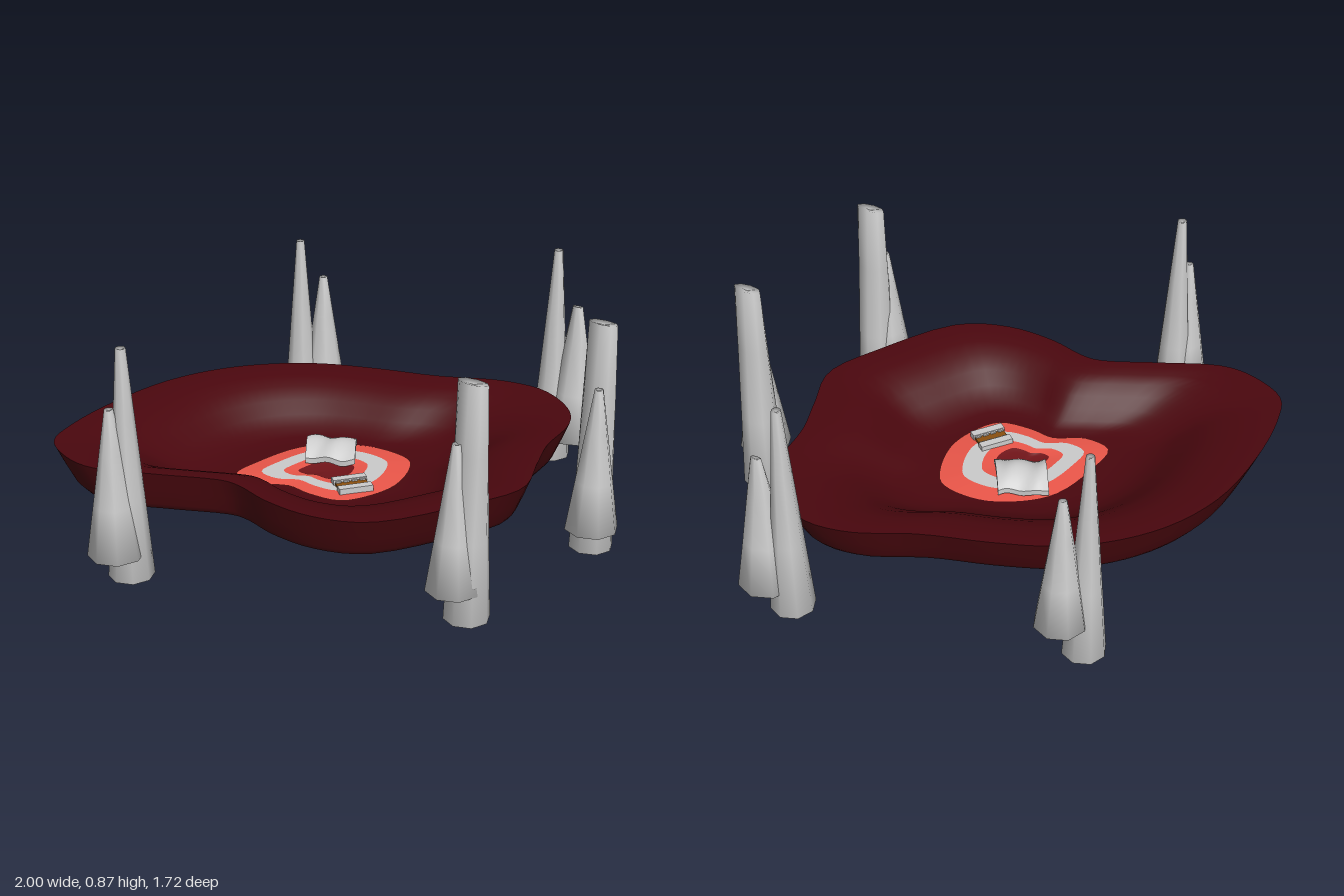
import * as THREE from 'three';

const mat = (color) => new THREE.MeshStandardMaterial({ color, side: THREE.DoubleSide });
const GREY = mat(0xcccccc), DARK = mat(0x4a070e), RED = mat(0xeb5649);
const THROAT = mat(0x701419), WHITE = mat(0xffffff), BROWN = mat(0x8a5010);

// Outlines as x, z pairs seen from above
const POOL = [-1, -.1, -.94, -.22, -.8, -.385, -.6, -.555, -.4, -.645, -.2, -.672, 0, -.647, .2, -.57, .415, -.465,
  .645, -.385, .77, -.28, .82, -.1, .79, .03, .67, .19, .6, .33, .51, .5, .3, .59, -.02, .665, -.2, .595,
  -.33, .465, -.4, .35, -.45, .3, -.665, .22, -.88, .135, -.96, .04];
const LIPS = [-.38, -.04, -.29, -.13, -.13, -.225, 0, -.23, .14, -.18, .235, -.07, .23, 0, .155, .13, .06, .195,
  -.05, .22, -.15, .15, -.21, .08, -.32, .045];
const CENTRE = [-.06, -.02];

function smoothOutline(pairs, count) {
  const pts = [];
  for (let i = 0; i < pairs.length; i += 2) pts.push(new THREE.Vector3(pairs[i], 0, pairs[i + 1]));
  return new THREE.CatmullRomCurve3(pts, true).getPoints(count).slice(0, count);
}

// Joins copies of an outline; each ring is [scale, height]
function loft(outline, rings) {
  const n = outline.length, pos = [], idx = [];
  rings.forEach(([s, y], r) => outline.forEach((p, i) => {
    pos.push(CENTRE[0] + (p.x - CENTRE[0]) * s, y, CENTRE[1] + (p.z - CENTRE[1]) * s);
    if (r === 0) return;
    const a = (r - 1) * n + i, b = (r - 1) * n + (i + 1) % n;
    idx.push(a, a + n, b, b, a + n, b + n);
  }));
  const g = new THREE.BufferGeometry();
  g.setAttribute('position', new THREE.Float32BufferAttribute(pos, 3));
  g.setIndex(idx);
  g.computeVertexNormals();
  return g;
}

function add(parent, name, geometry, material, x = 0, y = 0, z = 0) {
  const m = new THREE.Mesh(geometry, material);
  m.name = name;
  m.position.set(x, y, z);
  parent.add(m);
  return m;
}

// Eight-sided straight taper; blade flattens the tip along the diagonal
function spike(radius, height, tip, blade) {
  const at = (t) => new THREE.Vector2(radius + (tip - radius) * t, height * t);
  const g = new THREE.LatheGeometry([new THREE.Vector2(0, 0), at(0), at(.35), at(.7), at(1),
    new THREE.Vector2(0, height * .99)], 8);
  const p = g.attributes.position;
  for (let i = 0; i < p.count; i++) {
    const t = Math.max(0, p.getY(i) / height - .3) / .7;
    const u = (p.getX(i) + p.getZ(i)) / 2 * (1 + blade * t);
    const v = (p.getX(i) - p.getZ(i)) / 2 * (1 - blade * t);
    p.setX(i, u + v);
    p.setZ(i, u - v);
  }
  return g;
}

export function createModel() {
  const model = new THREE.Group();
  model.name = 'poolWithSpikes';

  // Dish: broad rounded rim falling to a small floor, steep wall and flat base outside
  const pool = smoothOutline(POOL, 96);
  add(model, 'basin', loft(pool, [[1, .36], [.93, .358], [.84, .35], [.75, .333], [.67, .3], [.6, .262],
    [.53, .232], [.45, .216], [.36, .212], [0, .21]]), DARK);
  add(model, 'shell', loft(pool, [[1, .36], [.965, .29], [.935, .235], [.915, .216], [.88, .21],
    [.5, .206], [.3, .198], [0, .197]]), DARK);

  // Mouth: coloured bands around a sunken throat
  const mouth = new THREE.Group();
  mouth.name = 'mouth';
  model.add(mouth);
  const lips = smoothOutline(LIPS, 52);
  add(mouth, 'outerLip', loft(lips, [[1, .216], [.72, .222]]), RED);
  add(mouth, 'lipBand', loft(lips, [[.72, .222], [.48, .222]]), GREY);
  add(mouth, 'innerLip', loft(lips, [[.48, .222], [.32, .219]]), RED);
  add(mouth, 'throat', loft(lips, [[.32, .219], [.24, .213], [0, .212]]), THROAT);
  add(mouth, 'underside', loft(lips, [[.85, .196], [0, .194]]), RED);

  // Crumpled arched tongue
  const tongue = new THREE.BoxGeometry(.175, .02, .17, 10, 1, 10);
  const p = tongue.attributes.position;
  for (let i = 0; i < p.count; i++) {
    const x = p.getX(i), z = p.getZ(i);
    p.setY(i, p.getY(i) + .035 * (1 - (z / .085) ** 2) + .005 * Math.sin(x * 60 + z * 25));
    p.setZ(i, z + .01 * Math.sin(x * 30));
  }
  tongue.computeVertexNormals();
  add(mouth, 'tongue', tongue, GREY, -.03, .237, -.13).rotation.y = -.2;

  // Two rows of teeth with a dark gap
  const teeth = new THREE.Group();
  teeth.name = 'teeth';
  teeth.position.set(.005, .216, .125);
  teeth.rotation.y = .15;
  mouth.add(teeth);
  add(teeth, 'gap', new THREE.BoxGeometry(.11, .03, .06), BROWN);
  for (const side of [-1, 1]) {
    add(teeth, 'gum', new THREE.BoxGeometry(.12, .05, .03), WHITE, 0, -.001, side * .036);
    for (let i = 0; i < 4; i++)
      add(teeth, 'tooth', new THREE.BoxGeometry(.02, .04, .008), WHITE, (i - 1.5) * .029, 0, side * .018);
  }

  // Spike pairs: tall [x, base, z, top, tip, blade], short [x, z, radius, top, blade]
  const pairs = [
    [[-.765, .065, .35, .87, .017, 0], [-.812, .367, .095, .67, 0]],
    [[.277, .047, .757, .86, .04, .4], [.23, .76, .092, .66, 0]],
    [[.795, .05, .35, .865, .038, .4], [.772, .42, .092, .66, 0]],
    [[.828, .065, -.358, .87, .016, 0], [.898, -.313, .1, .665, .4]],
    [[-.055, .005, -.77, .81, .015, 0], [.032, -.778, .09, .66, 0]],
  ];
  for (const [[x, base, z, top, tip, blade], [sx, sz, r, sTop, sBlade]] of pairs) {
    const pair = new THREE.Group();
    pair.name = 'spikePair';
    model.add(pair);
    add(pair, 'tallSpike', spike(.077, top - base, tip, blade), GREY, x, base, z);
    add(pair, 'shortSpike', spike(r, sTop - .155, .015, sBlade), GREY, sx, .155, sz);
  }
  return model;
}
